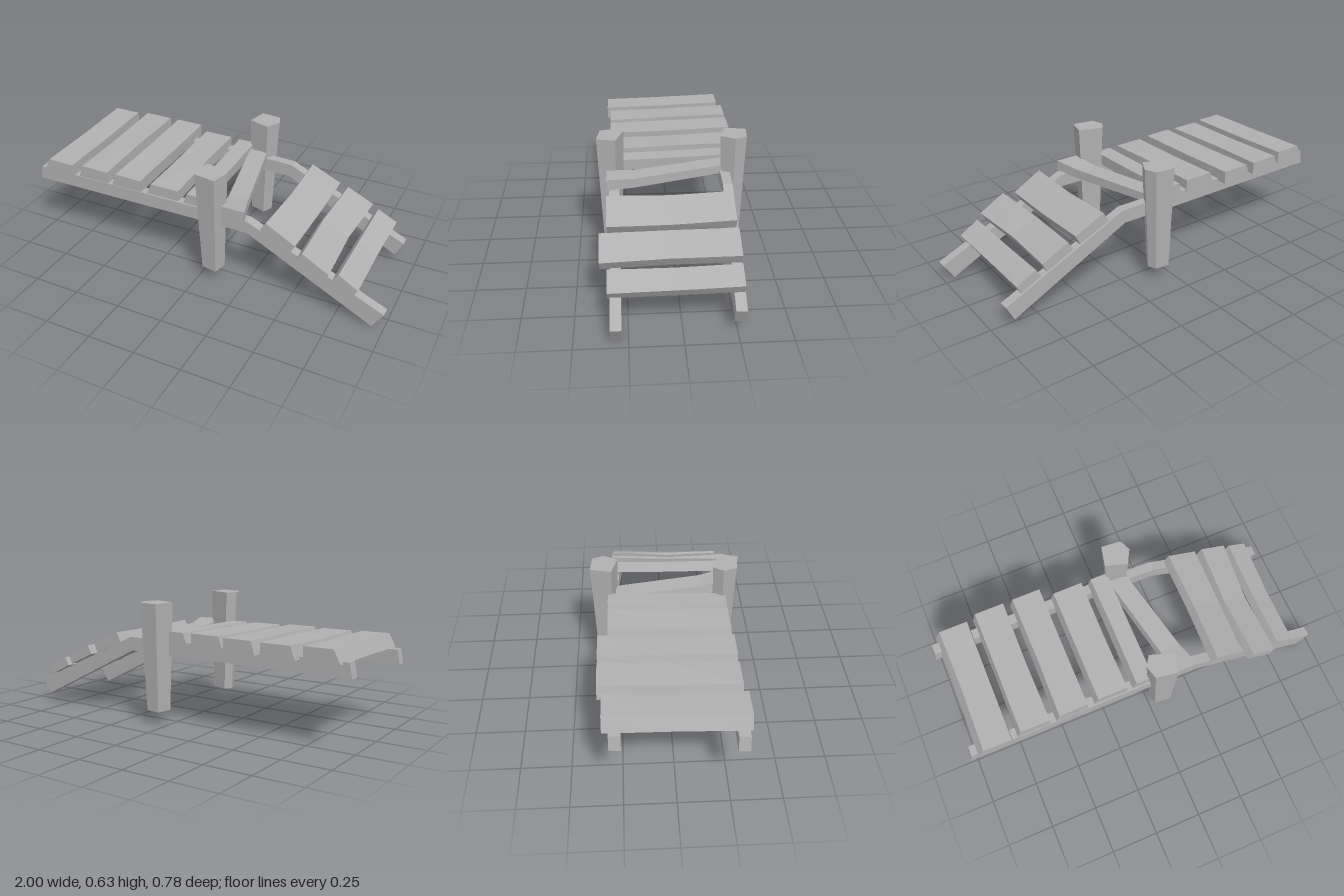
import * as THREE from 'three';

const wood = new THREE.MeshStandardMaterial({ color: 0xb0b0b0, flatShading: true });
wood.name = 'weathered grey';

// Skin a list of equal-sized rings (counter-clockwise seen from the far end) and cap both ends
function loft(name, rings) {
  const pos = [];
  const tri = (a, b, c) => pos.push(...a, ...b, ...c);
  const n = rings[0].length;
  for (let i = 0; i < rings.length - 1; i++) {
    for (let j = 0; j < n; j++) {
      const k = (j + 1) % n;
      const [a, b, c, d] = [rings[i][j], rings[i][k], rings[i + 1][k], rings[i + 1][j]];
      tri(a, b, c);
      tri(a, c, d);
    }
  }
  const first = rings[0], last = rings[rings.length - 1];
  for (let j = 1; j < n - 1; j++) {
    tri(first[0], first[j + 1], first[j]);
    tri(last[0], last[j], last[j + 1]);
  }
  const geo = new THREE.BufferGeometry();
  geo.setAttribute('position', new THREE.Float32BufferAttribute(pos, 3));
  geo.computeVertexNormals();
  const mesh = new THREE.Mesh(geo, wood);
  mesh.name = name;
  return mesh;
}

// Plank across the bridge; stations: [z, x, y, width, thickness, tilt] at the underside centre
function plank(name, stations, inset = 0.025) {
  return loft(name, stations.map(([z, x, y, w, t, tilt]) => {
    const c = Math.cos(tilt), s = Math.sin(tilt), h = w / 2;
    return [[-h, 0], [h, 0], [h, t], [-h + inset, t]]
      .map(([u, v]) => [x + u * c - v * s, y + u * s + v * c, z]);
  }));
}

// Rail along the bridge; stations: [topX, topY, bottomX, bottomY, backZ, frontZ]
function rail(name, stations) {
  return loft(name, stations.map(([tx, ty, bx, by, z0, z1]) =>
    [[bx, by, z0], [tx, ty, z0], [tx, ty, z1], [bx, by, z1]]));
}

// Five-sided post, narrower at the foot; outline given as [x, z]
function post(name, outline, footX, footZ) {
  const cx = outline.reduce((s, p) => s + p[0], 0) / 5;
  const cz = outline.reduce((s, p) => s + p[1], 0) / 5;
  const foot = outline.map(([x, z]) => [footX + (x - cx) * 0.72, 0.075, footZ + (z - cz) * 0.72]);
  return loft(name, [foot, outline.map(([x, z]) => [x, 0.637, z])]);
}

export function createModel() {
  const group = new THREE.Group();
  group.name = 'brokenFootbridge';

  // Bent side rails
  group.add(rail('frontRail', [
    [-0.985, 0.41, -1, 0.335, 0.27, 0.325],
    [0.0, 0.415, 0.0, 0.343, 0.272, 0.325],
    [0.265, 0.412, 0.265, 0.345, 0.275, 0.328],
    [0.995, 0.092, 0.94, 0.004, 0.28, 0.332],
  ]));
  group.add(rail('backRail', [
    [-0.98, 0.44, -0.995, 0.365, -0.305, -0.25],
    [0.0, 0.44, 0.0, 0.365, -0.305, -0.255],
    [0.265, 0.437, 0.255, 0.365, -0.3, -0.25],
    [0.93, 0.125, 0.89, 0.044, -0.29, -0.237],
  ]));

  // Corner posts
  group.add(post('frontPost',
    [[0, 0.37], [0.115, 0.388], [0.14, 0.29], [0.015, 0.247], [-0.02, 0.3]], 0.06, 0.315));
  group.add(post('backPost',
    [[0, -0.285], [0.115, -0.25], [0.155, -0.325], [0.13, -0.385], [0.025, -0.395]], 0.075, -0.325));

  // Level planks: [left x, right x, back z, front z, thickness]
  [
    [-0.95, -0.765, -0.335, 0.34, 0.067],
    [-0.735, -0.555, -0.358, 0.322, 0.066],
    [-0.525, -0.35, -0.358, 0.322, 0.068],
    [-0.312, -0.13, -0.308, 0.316, 0.062],
    [-0.1, 0.015, -0.308, 0.316, 0.06],
  ].forEach(([x0, x1, z0, z1, t], i) => {
    const x = (x0 + x1) / 2, w = x1 - x0;
    group.add(plank(`levelPlank${i + 1}`, [
      [z0, x, 0.43, w, t, 0],
      [(z0 + z1) / 2, x, 0.419, w * 0.97, t, i % 2 ? 0.03 : -0.03],
      [z1, x, 0.411, w, t, -0.01],
    ], i ? 0.022 : 0.035));
  });

  // Loose plank lying askew at the bend
  group.add(plank('skewPlank', [
    [-0.265, 0.055, 0.425, 0.11, 0.045, 0],
    [0.2, 0.155, 0.405, 0.118, 0.05, 0],
    [0.34, 0.19, 0.412, 0.13, 0.058, 0],
  ], 0.01));

  // Planks on the falling side: [x, y, width, thickness, tilt, back z, front z, middle shift]
  [
    [0.42, 0.35, 0.184, 0.057, -0.51, -0.288, 0.342, 0.008],
    [0.62, 0.265, 0.165, 0.055, -0.52, -0.292, 0.378, -0.012],
    [0.78, 0.188, 0.124, 0.05, -0.55, -0.288, 0.342, 0],
  ].forEach(([x, y, w, t, tilt, z0, z1, shift], i) => {
    group.add(plank(`slopedPlank${i + 1}`, [
      [z0, x + 0.01, y + 0.012, w, t, tilt + 0.08],
      [(z0 + z1) / 2, x + shift, y, w * 0.97, t, tilt + 0.03],
      [z1, x, y, w, t, tilt],
    ], 0.004));
  });

  return group;
}
